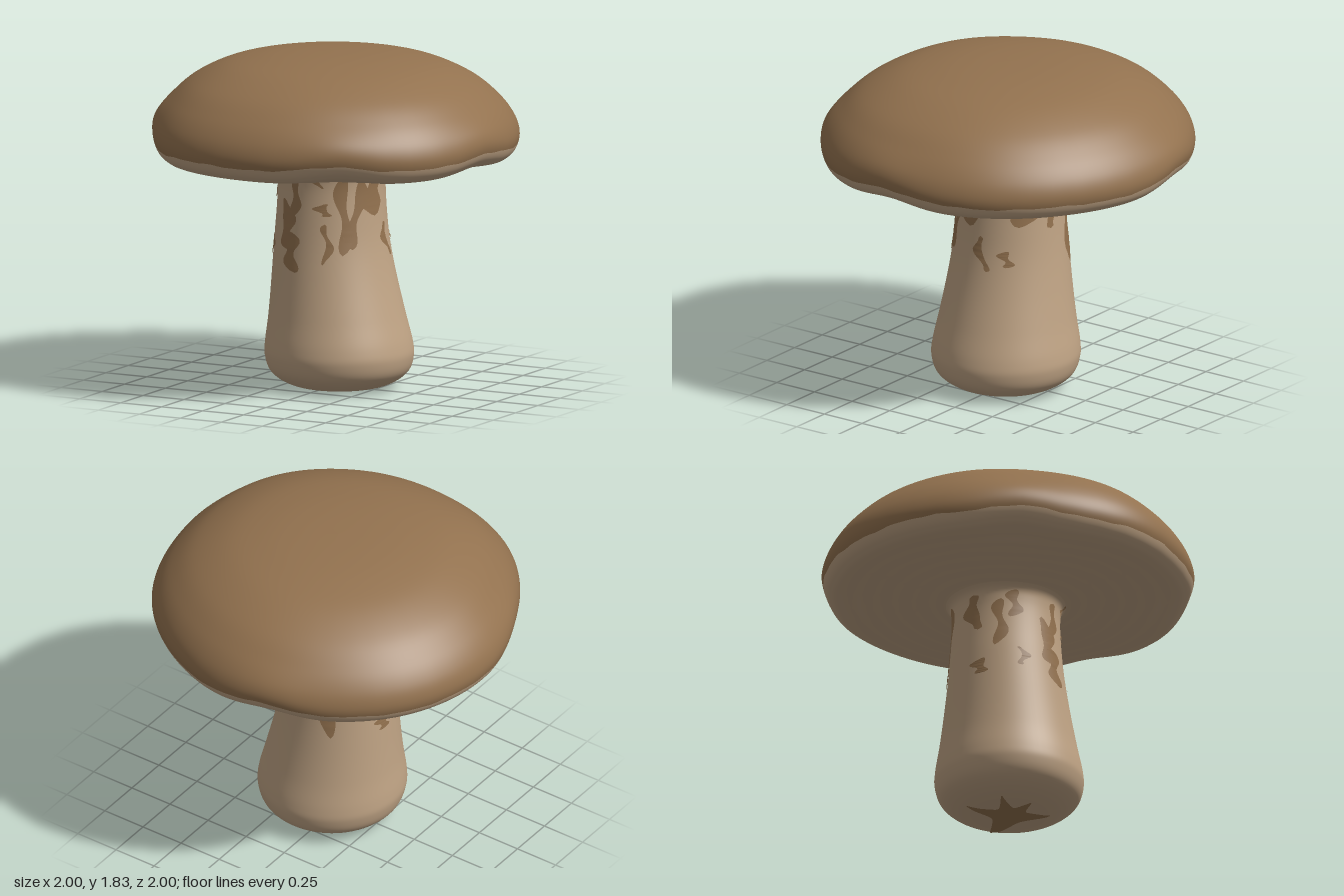
import * as THREE from 'three';

const brown = new THREE.MeshStandardMaterial({ color: 0x93724f });
brown.name = 'capBrown';
const cream = new THREE.MeshStandardMaterial({ color: 0xbfa384 });
cream.name = 'stemCream';

const { cos, sin, sqrt, exp, PI } = Math;
const rad = THREE.MathUtils.degToRad;
const smooth = THREE.MathUtils.smoothstep;
const spline = (pts) => new THREE.SplineCurve(pts.map(([x, y]) => new THREE.Vector2(x, y)));

// Surface from rows (top to bottom) of points running from +x towards +z.
// Rows up to splitRow form group 0, the rest group 1.
function loft(rows, cols, closed, point, splitRow = rows) {
  const geo = new THREE.BufferGeometry();
  const pos = [], idx = [];
  const n = closed ? cols : cols + 1;
  for (let j = 0; j <= rows; j++) for (let i = 0; i < n; i++) pos.push(...point(j / rows, i / cols, j));
  for (let j = 0; j < rows; j++) {
    for (let i = 0; i < cols; i++) {
      const a = j * n + i, c = j * n + ((i + 1) % n), b = a + n, d = c + n;
      idx.push(a, c, b, c, d, b);
    }
  }
  geo.setAttribute('position', new THREE.Float32BufferAttribute(pos, 3));
  geo.setIndex(idx);
  geo.computeVertexNormals();
  geo.addGroup(0, splitRow * cols * 6, 0);
  geo.addGroup(splitRow * cols * 6, (rows - splitRow) * cols * 6, 1);
  return geo;
}

function addMesh(parent, name, geo, material) {
  const mesh = new THREE.Mesh(geo, material);
  mesh.name = name;
  parent.add(mesh);
}

// Irregular cap outline: radius every 30 degrees, starting at +x towards +z
const outline = new THREE.CatmullRomCurve3(
  [1, 1.027, 1.008, 0.997, 1.005, 0.967, 0.995, 1, 0.988, 0.995, 0.987, 0.998]
    .map((r) => new THREE.Vector3(0, r, 0)), true, 'catmullrom', 0.5);

// Cap profile (radius, height) from the crown, round the rim, to the stem
const capProfile = spline([
  [0, 1.825], [0.2, 1.82], [0.4, 1.8], [0.6, 1.755], [0.78, 1.67], [0.9, 1.57], [0.97, 1.48],
  [1, 1.4], [0.995, 1.335], [0.96, 1.28], [0.88, 1.25], [0.62, 1.233], [0.36, 1.218], [0.27, 1.19],
]);
const RIM_U = 8 / 13;

// The rim lifts gently at four angles
function rimLift(a) {
  return [7, 60, 156, 258].reduce((sum, deg) => {
    const d = a - rad(deg);
    return sum + 0.034 * exp((cos(d) - 1) * 40);
  }, 0);
}

function buildCap() {
  const topRows = 44, underRows = 60, cols = 144;
  return loft(topRows + underRows, cols, true, (v, s, j) => {
    const a = s * 2 * PI;
    // slightly ragged border between the skin and the pale underside
    const border = RIM_U + 0.004 * sin(a * 9) + 0.003 * sin(a * 23 + 1) + 0.002 * sin(a * 41);
    const u = j <= topRows ? border * j / topRows : border + (1 - border) * (j - topRows) / underRows;
    const p = capProfile.getPoint(u);
    const r = p.x * (1 + (outline.getPoint(s).y - 1) * smooth(p.x, 0.3, 0.85));
    let y = p.y + rimLift(a) * smooth(p.x, 0.65, 0.97) * (1 - smooth(p.y, 1.36, 1.6));
    // faint rings under the cap
    if (u > RIM_U) y += 0.004 * sin(p.x * 62 + sin(a * 3)) * smooth(p.x, 0.3, 0.4) * (1 - smooth(p.x, 0.8, 0.93));
    return [r * cos(a), y, r * sin(a)];
  }, topRows);
}

// Stem profile, from inside the cap down to the centre of the base
const stemProfile = spline([
  [0.36, 1.235], [0.305, 1.195], [0.29, 1.13], [0.293, 1], [0.31, 0.8], [0.336, 0.6], [0.368, 0.4],
  [0.396, 0.25], [0.399, 0.17], [0.37, 0.09], [0.29, 0.032], [0.18, 0.005], [0, 0.005],
]);
const stemSamples = stemProfile.getPoints(240);
const leanAt = (y) => 0.04 - 0.048 * smooth(y, 0.1, 0.9);
const stemRadius = (y) => stemSamples.find((p) => p.y <= y).x;
const baseHeight = (r) => stemSamples.find((p) => p.y < 0.1 && p.x <= r).y;

function buildStem() {
  return loft(80, 72, true, (v, s) => {
    const p = stemProfile.getPoint(v), a = s * 2 * PI;
    return [leanAt(p.y) + p.x * cos(a), Math.max(p.y, 0.004), p.x * sin(a)];
  });
}

// Brown streaks: [degrees from the front towards +x, top, bottom, drift in degrees, half width]
const streaks = [
  [-60, 1.18, 1.02, -3, 0.028],
  [-8, 1.16, 0.9, -14, 0.027],
  [-27, 1.05, 0.78, 6, 0.04],
  [-20, 0.88, 0.66, 8, 0.04],
  [15, 1.21, 1.12, 0, 0.015],
  [19, 1.04, 0.97, 1, 0.03],
  [42, 1.2, 0.76, -2, 0.03],
  [24, 0.93, 0.71, -2, 0.017],
  [-54, 0.84, 0.73, 1, 0.02],
  [62, 1.17, 0.79, -14, 0.032],
  [80, 1.21, 0.96, -5, 0.065],
  [90, 0.92, 0.73, 10, 0.023],
  [121, 0.85, 0.76, 1, 0.025],
  [139, 1.16, 0.98, -1, 0.06],
  [171, 1.17, 0.95, 4, 0.035],
  [187, 1.14, 1.01, -1, 0.03],
  [208, 1.18, 0.7, -3, 0.035],
  [250, 1.17, 0.96, 6, 0.042],
  [264, 0.78, 0.69, -2, 0.035],
  [285, 1.13, 0.85, -4, 0.027],
];

function buildStreak([deg, top, bottom, drift, width], k) {
  return loft(24, 6, false, (v, s) => {
    const y = top + (bottom - top) * v;
    const r = stemRadius(y) + 0.004;
    const round = sqrt(Math.max(0, 1 - (2 * v - 1) ** 6));
    const half = width * round * (1 + 0.35 * sin(v * 10 + k * 2));
    const wander = 0.02 * sin(v * 7 + k) / r;
    const a = PI / 2 - rad(deg + drift * v) + wander + (2 * s - 1) * half / r;
    return [leanAt(y) + r * cos(a), y, r * sin(a)];
  });
}

// Star-shaped stain under the base: [degrees, length] of each arm, with short gaps between
const arms = [[41, 0.28], [133, 0.25], [190, 0.24], [236, 0.2], [293, 0.22]];
const stain = new THREE.CatmullRomCurve3(arms.flatMap(([deg, length], i) => {
  const next = i + 1 < arms.length ? arms[i + 1][0] : arms[0][0] + 360;
  return [[deg, length], [(deg + next) / 2, 0.1]]
    .map(([d, r]) => new THREE.Vector3(r * cos(rad(d)), 0, -r * sin(rad(d))));
}).reverse(), true, 'catmullrom', 0.3);

// The stain is wrapped on to the rounded edge of the base
function buildStain() {
  const swing = new THREE.Vector3(0, 1, 0);
  return loft(14, 80, true, (v, s) => {
    const p = stain.getPoint(s).multiplyScalar(1 - v).applyAxisAngle(swing, 0);
    return [0.04 + p.x, Math.max(0, baseHeight(Math.hypot(p.x, p.z)) - 0.005), p.z];
  });
}

export function createModel() {
  const model = new THREE.Group();
  model.name = 'mushroom';
  addMesh(model, 'cap', buildCap(), [brown, cream]);
  addMesh(model, 'stem', buildStem(), cream);
  const marks = new THREE.Group();
  marks.name = 'stemMarks';
  streaks.forEach((streak, k) => addMesh(marks, 'streak', buildStreak(streak, k), brown));
  addMesh(marks, 'baseStain', buildStain(), brown);
  model.add(marks);
  return model;
}
